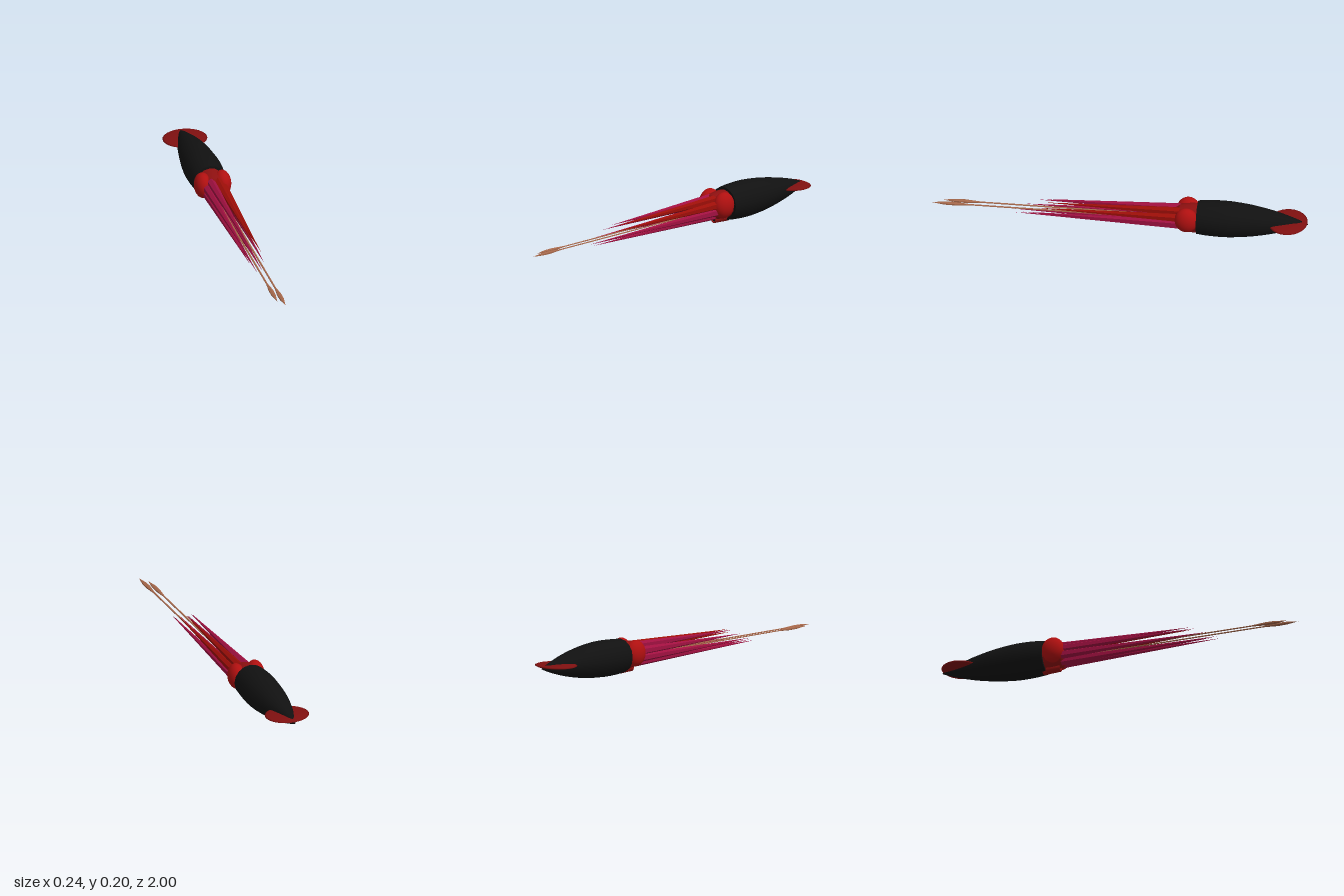
import * as THREE from 'three';

const mat = (name, color, flatShading = false) => {
  const m = new THREE.MeshStandardMaterial({ color, flatShading });
  m.name = name;
  return m;
};

export function createModel() {
  const model = new THREE.Group();
  model.name = 'squid';
  const black = mat('mantleBlack', 0x111111);
  const eyeRed = mat('eyeRed', 0xb01010);
  const headRed = mat('headRed', 0x8f1010);
  const finRed = mat('finRed', 0x801010);
  const armRed = mat('armRed', 0x9c0e08, true);
  const armCrimson = mat('armCrimson', 0xa01040, true);
  const tan = mat('tentacleTan', 0xa5674a, true);
  const white = mat('beakWhite', 0xe8e0d8);

  const add = (name, geo, material, x = 0, y = 0, z = 0) => {
    const mesh = new THREE.Mesh(geo, material);
    mesh.name = name;
    mesh.position.set(x, y, z);
    model.add(mesh);
    return mesh;
  };
  // Turned body along z from [radius, z] pairs, ordered back to front
  const turned = (pts, sides) =>
    new THREE.LatheGeometry(pts.map(([r, z]) => new THREE.Vector2(r, z)), sides).rotateX(Math.PI / 2);
  const ball = (rx, ry, rz, w = 20, h = 14) => new THREE.SphereGeometry(1, w, h).scale(rx, ry, rz);

  // Mantle with a closed front rim
  const mantle = new THREE.SplineCurve([
    [0.001, -1], [0.022, -0.95], [0.045, -0.88], [0.066, -0.8], [0.085, -0.7],
    [0.096, -0.6], [0.098, -0.53], [0.095, -0.46], [0.09, -0.412],
  ].map(([r, z]) => new THREE.Vector2(r, z))).getPoints(24).map((p) => [p.x, p.y]);
  add('mantle', turned(mantle, 16), black, 0, 0.1);
  add('mantleRim', turned([[0.09, -0.412], [0.05, -0.412]], 16), black, 0, 0.1);

  // Tail fins: one thin disc through the mantle tip
  add('tailFins', ball(0.12, 0.011, 0.105, 28, 8), finRed, 0, 0.107, -0.892);

  // Head
  add('head', turned([[0.076, -0.43], [0.076, -0.38], [0.068, -0.32], [0.056, -0.3], [0, -0.296]], 16), headRed, 0, 0.1);

  // Eyes
  for (const s of [1, -1]) {
    add(s > 0 ? 'leftEye' : 'rightEye', ball(0.046, 0.07, 0.063), eyeRed, s * 0.054, 0.112, -0.358);
  }

  // Funnel under the head
  add('funnel', turned([[0.026, -0.43], [0.021, -0.335], [0.013, -0.333], [0.012, -0.35]], 12), headRed, 0, 0.028);
  add('funnelOpening', new THREE.CircleGeometry(0.013, 12), black, 0, 0.028, -0.339);

  // Beak
  add('beak', ball(0.008, 0.008, 0.01, 10, 8), black, 0, 0.098, -0.292);
  add('beakTip', ball(0.003, 0.003, 0.004, 8, 6), white, 0, 0.098, -0.283);

  // Eight tapering arms, longer towards the underside
  const tips = [0.4, 0.44, 0.51, 0.56];
  const up = new THREE.Vector3(0, 1, 0);
  for (const s of [1, -1]) {
    tips.forEach((tipZ, i) => {
      const a = ((i + 0.5) * Math.PI) / 4;
      const dx = s * Math.sin(a), dy = Math.cos(a);
      const base = new THREE.Vector3(dx * 0.047, 0.099 + dy * 0.047, -0.32);
      const tip = new THREE.Vector3(dx * 0.041, 0.1 + dy * 0.041, tipZ);
      const axis = tip.clone().sub(base);
      const geo = new THREE.ConeGeometry(0.024, axis.length(), 6);
      const arm = add('arm', geo, s > 0 && i < 2 ? armRed : armCrimson);
      arm.position.copy(base).add(tip).multiplyScalar(0.5);
      arm.quaternion.setFromUnitVectors(up, axis.normalize());
    });
  }

  // Two long feeding tentacles ending in clubs
  for (const [x, end] of [[0.015, 1], [-0.015, 0.945]]) {
    const profile = [
      [0.006, -0.31], [0.005, end - 0.2], [0.007, end - 0.18],
      [0.013, end - 0.12], [0.012, end - 0.07], [0, end],
    ];
    const geo = turned(profile, 6);
    geo.scale(1, 0.6, 1);
    add('tentacle', geo, tan, x, 0.09, 0);
  }
  return model;
}
